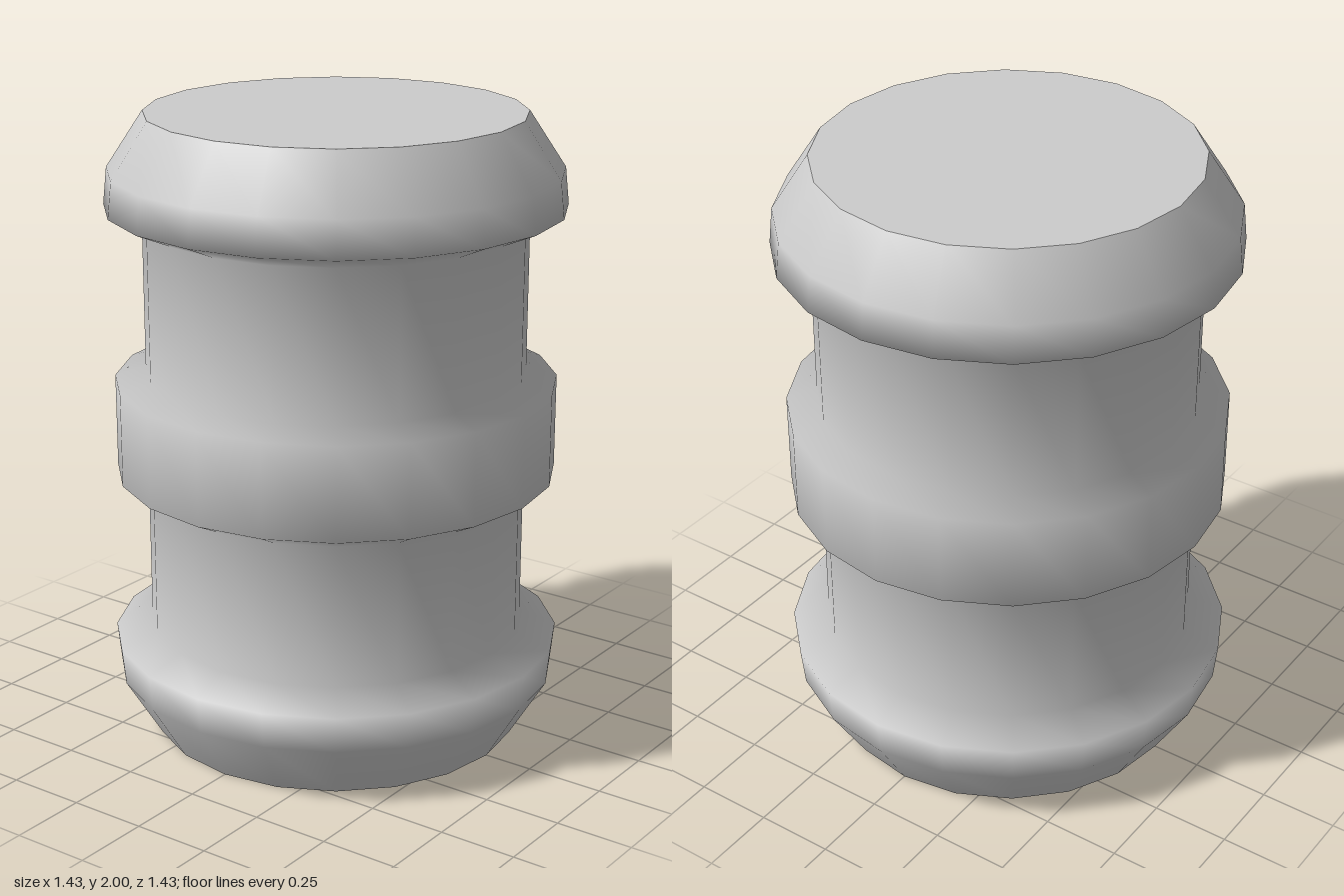
import * as THREE from 'three';

const SIDES = 20;

export function createModel() {
  const group = new THREE.Group();
  group.name = 'ribbedSpool';
  const material = new THREE.MeshStandardMaterial({ color: 0xcccccc });

  const add = (name, geometry) => {
    const mesh = new THREE.Mesh(geometry, material);
    mesh.name = name;
    group.add(mesh);
    return mesh;
  };

  // Outer wall: bottom flange, shaft, middle band, shaft, top flange
  const profile = [
    [0.59, 0], [0.705, 0.19], [0.717, 0.306], [0.6, 0.355],
    [0.6, 0.812], [0.697, 0.86], [0.697, 1.157], [0.6, 1.188],
    [0.6, 1.66], [0.717, 1.71], [0.705, 1.825], [0.59, 2],
  ].map(([r, y]) => new THREE.Vector2(r, y));
  add('body', new THREE.LatheGeometry(profile, SIDES));

  // Flat end caps
  for (const [name, y, tilt] of [['topCap', 2, -1], ['bottomCap', 0, 1]]) {
    const cap = new THREE.CircleGeometry(0.59, SIDES);
    cap.rotateX(tilt * Math.PI / 2);
    add(name, cap).position.y = y;
  }

  return group;
}
